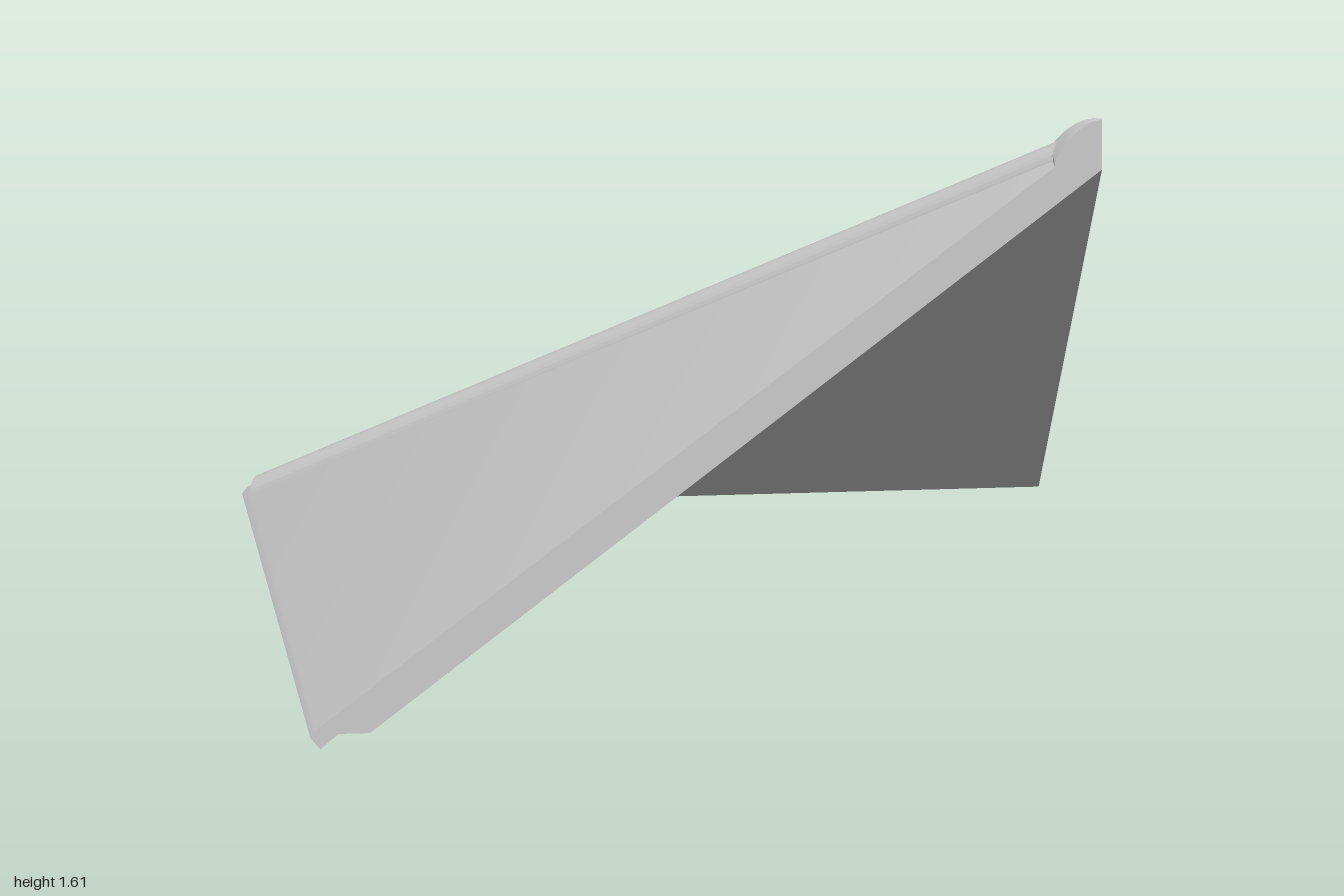
import * as THREE from 'three';
import { toCreasedNormals } from 'three/addons/utils/BufferGeometryUtils.js';

const material = new THREE.MeshStandardMaterial({ color: 0xcccccc });

// Sweeps a counter-clockwise (x, y) profile from the diagonal mitre x = z out to z = 1.
// With swap, builds the matching half on the other side of the diagonal.
function mitredHalf(profile, swap) {
  const pos = [];
  const tri = (...corners) => {
    if (swap) corners.reverse();
    for (const [x, y, z] of corners) pos.push(swap ? z : x, y, swap ? x : z);
  };
  profile.forEach((a, i) => {
    const b = profile[(i + 1) % profile.length];
    if (a.x === 1 && b.x === 1) return;
    const a1 = [a.x, a.y, 1], b1 = [b.x, b.y, 1];
    const a0 = [a.x, a.y, a.x], b0 = [b.x, b.y, b.x];
    tri(a1, a0, b1);
    tri(b1, a0, b0);
  });
  // Flat cut end
  for (const f of THREE.ShapeUtils.triangulateShape(profile, [])) {
    tri(...f.map((i) => [profile[i].x, profile[i].y, 1]));
  }
  const geo = new THREE.BufferGeometry();
  geo.setAttribute('position', new THREE.Float32BufferAttribute(pos, 3));
  return toCreasedNormals(geo, 0.5);
}

function mitredPair(name, profile) {
  const group = new THREE.Group();
  group.name = name;
  for (const swap of [false, true]) {
    const mesh = new THREE.Mesh(mitredHalf(profile, swap), material);
    mesh.name = name + (swap ? 'Back' : 'Side');
    group.add(mesh);
  }
  return group;
}

const points = (list) => list.map(([x, y]) => new THREE.Vector2(x, y));

export function createModel() {
  const model = new THREE.Group();
  model.name = 'roofCorner';

  // Two sloping slabs with a drip edge along the eaves
  model.add(mitredPair('roofSlope', points([
    [-1, 0.03], [-0.975, 0], [-0.93, 0.04], [-0.85, 0.04],
    [1, 1.48], [1, 1.582], [-0.985, 0.053],
  ])));

  // Rounded hip roll along the diagonal, partly sunk into the slabs
  const hipPoint = (t) => new THREE.Vector3(t, 0.776 + 0.772 * t, t);
  const start = hipPoint(-0.945), end = hipPoint(0.92);
  const section = new THREE.Shape();
  section.absarc(0, 0, 0.05, 0, Math.PI, false);
  const roll = new THREE.Mesh(toCreasedNormals(new THREE.ExtrudeGeometry(section, {
    depth: start.distanceTo(end), bevelEnabled: false, curveSegments: 20,
  }), 0.5), material);
  roll.name = 'hipRoll';
  roll.position.copy(start);
  roll.lookAt(end);
  model.add(roll);

  // Domed cap over the peak
  const dome = new THREE.SplineCurve(points([
    [1, 1.612], [0.965, 1.603], [0.925, 1.57], [0.895, 1.53], [0.88, 1.505],
  ])).getPoints(16);
  model.add(mitredPair('peakCap', [...dome, ...points([[0.88, 1.475], [1, 1.565]])]));

  return model;
}
